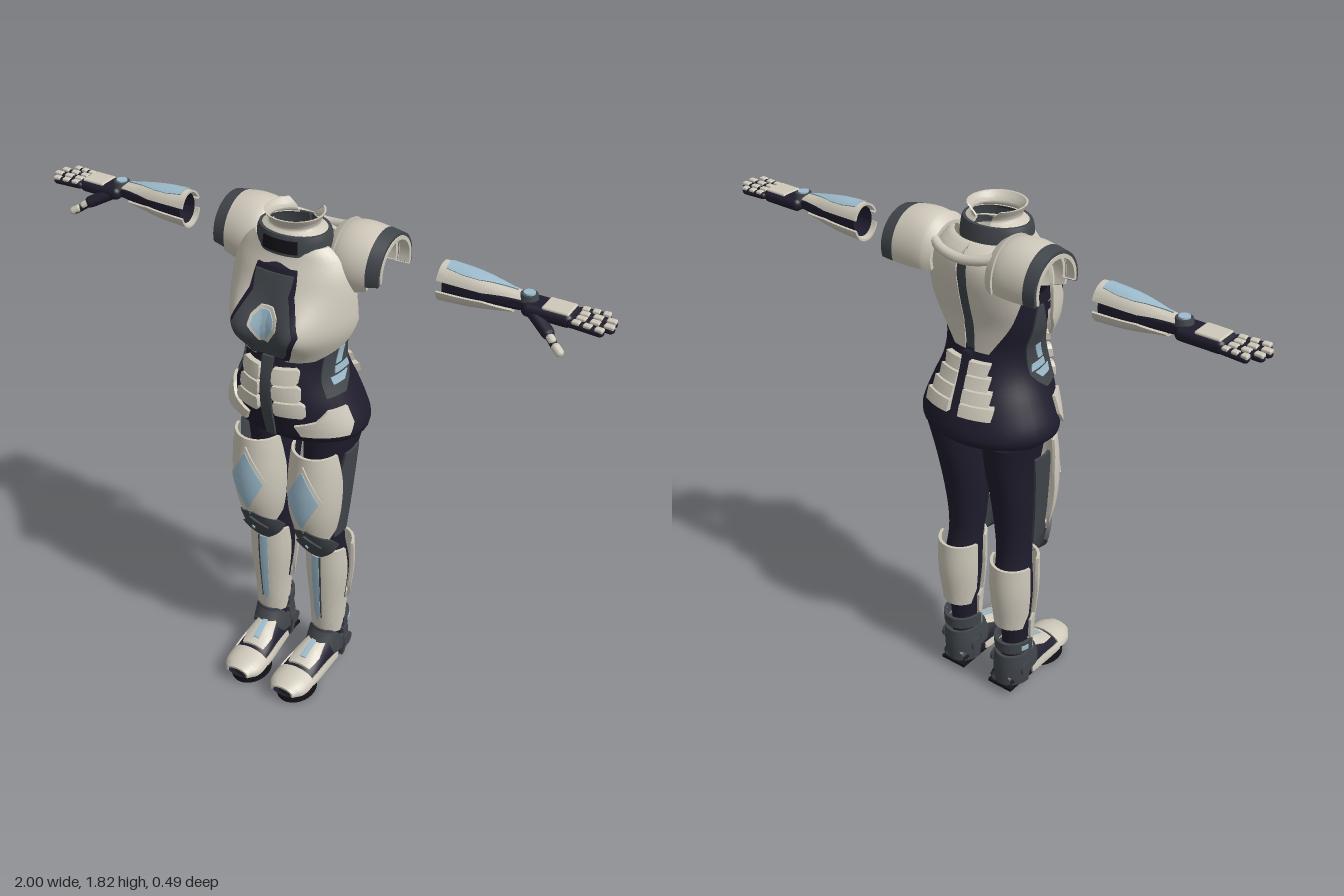
import * as THREE from 'three';
import { toCreasedNormals } from 'three/addons/utils/BufferGeometryUtils.js';
import { RoundedBoxGeometry } from 'three/addons/geometries/RoundedBoxGeometry.js';

const PI = Math.PI;
const mat = (name, color) => {
  const m = new THREE.MeshStandardMaterial({ color, side: THREE.DoubleSide });
  m.name = name;
  return m;
};

// Ring profile rows: [y, cx, cz, rx, rFront, rBack], smoothly interpolated over y
function ringAt(rows, y) {
  let i = 0;
  while (i < rows.length - 2 && y > rows[i + 1][0]) i++;
  const p1 = rows[i], p2 = rows[i + 1], p0 = rows[i - 1] || p1, p3 = rows[i + 2] || p2;
  const h = p2[0] - p1[0], t = Math.min(1, Math.max(0, (y - p1[0]) / h));
  return p1.map((v, k) => {
    const m1 = (p2[k] - p0[k]) / (p2[0] - p0[0]) * h, m2 = (p3[k] - p1[k]) / (p3[0] - p1[0]) * h;
    const d = p2[k] - v;
    return v + t * (m1 + t * (3 * d - 2 * m1 - m2 + t * (m1 + m2 - 2 * d)));
  });
}

// Point on a profile: angle 0 faces +z, PI/2 faces +x, d lifts it off the surface
function pointOn(body, y, a, d) {
  const [, cx, cz, rx, rf, rb] = ringAt(body.rows, y);
  const c = Math.cos(a), x = cx + (rx + d) * Math.sin(a);
  const z = cz + ((c > 0 ? rf : rb) + d) * c + (body.bump && c > 0 ? body.bump(x, y) : 0);
  return [x, y, z];
}

// Curved plate on a profile; outline rows: [y, angleStart, angleEnd], with folded-in edges
function plateGeometry(body, outline, d, thick, nu, step) {
  const lines = [];
  outline.forEach((r, i) => {
    const next = outline[i + 1];
    if (!next) return lines.push(r);
    for (let s = 0; s < step; s++) lines.push(r.map((v, k) => v + (next[k] - v) * s / step));
  });
  if (thick) { lines.unshift(lines[0]); lines.push(lines[lines.length - 1]); }
  const us = Array.from({ length: nu + 1 }, (_, i) => i / nu);
  if (thick) { us.unshift(0); us.push(1); }
  const pos = [], index = [], w = us.length, h = lines.length;
  lines.forEach(([y, a0, a1], j) => us.forEach((u, i) => {
    const edge = thick && (i === 0 || j === 0 || i === w - 1 || j === h - 1);
    pos.push(...pointOn(body, y, a0 + (a1 - a0) * u, edge ? d - thick : d));
    if (i && j) {
      const q = j * w + i;
      index.push(q - w - 1, q - w, q, q - w - 1, q, q - 1);
    }
  }));
  const g = new THREE.BufferGeometry();
  g.setAttribute('position', new THREE.Float32BufferAttribute(pos, 3));
  g.setIndex(index);
  return toCreasedNormals(g, 0.8);
}

function add(parent, name, geo, m, pos = [0, 0, 0], rot = [0, 0, 0]) {
  const mesh = new THREE.Mesh(geo, m);
  mesh.name = name;
  mesh.position.set(...pos);
  mesh.rotation.set(...rot);
  parent.add(mesh);
  return mesh;
}
const plate = (parent, name, m, body, outline, d = 0.01, thick = 0.01, nu = 14, step = 6) =>
  add(parent, name, plateGeometry(body, outline, d, thick, nu, step), m);
const tube = (parent, name, m, body, y0, y1) => plate(parent, name, m, body, [[y0, -PI, PI], [y1, -PI, PI]], 0, 0, 36, 28);
const sym = (rows, c = 0) => rows.map(([y, a]) => [y, c - a, c + a]);
const group = (parent, name) => { const g = new THREE.Group(); g.name = name; parent.add(g); return g; };
function mirror(g, name) {
  const c = g.clone();
  c.name = name;
  c.scale.x = -1;
  g.parent.add(c);
}

const TORSO = { rows: [
  [1.065, 0, -0.03, 0.225, 0.145, 0.185], [1.085, 0, -0.03, 0.243, 0.165, 0.2], [1.12, 0, -0.03, 0.243, 0.175, 0.198],
  [1.2, 0, -0.03, 0.21, 0.195, 0.175], [1.3, 0, -0.03, 0.167, 0.2, 0.135], [1.38, 0, -0.03, 0.16, 0.185, 0.11],
  [1.46, 0, -0.03, 0.182, 0.165, 0.11], [1.58, 0, -0.03, 0.19, 0.14, 0.112]] };
const CHEST = {
  rows: [[1.36, 0, -0.03, 0.155, 0.165, 0.1], [1.4, 0, -0.03, 0.18, 0.165, 0.1], [1.47, 0, -0.03, 0.208, 0.175, 0.105],
    [1.55, 0, -0.03, 0.212, 0.165, 0.125], [1.64, 0, -0.03, 0.2, 0.14, 0.14], [1.7, 0, -0.02, 0.165, 0.105, 0.14], [1.74, 0, -0.01, 0.12, 0.085, 0.1]],
  bump: (x, y) => 0.06 * Math.exp(-((Math.abs(x) - 0.1) ** 2 + (y - 1.485) ** 2 * 0.8) / 0.006) };
const NECK = { rows: [[1.68, 0, 0, 0.115, 0.09, 0.1], [1.77, 0, 0, 0.108, 0.08, 0.085], [1.785, 0, 0, 0.082, 0.068, 0.075], [1.82, 0, 0, 0.095, 0.09, 0.095]] };
const LEG = { rows: [
  [0.1, 0.115, -0.05, 0.042, 0.045, 0.045], [0.2, 0.115, -0.05, 0.045, 0.045, 0.045], [0.3, 0.115, -0.05, 0.055, 0.05, 0.055],
  [0.45, 0.112, -0.05, 0.067, 0.06, 0.08], [0.58, 0.105, -0.045, 0.062, 0.06, 0.06], [0.66, 0.102, -0.04, 0.066, 0.07, 0.065],
  [0.8, 0.102, -0.045, 0.076, 0.09, 0.08], [0.95, 0.104, -0.055, 0.086, 0.1, 0.105], [1.06, 0.114, -0.06, 0.1, 0.1, 0.12]] };
const THIGH = { rows: [
  [0.65, 0.105, 0.03, 0.068, 0.065, 0.06], [0.75, 0.106, 0.03, 0.09, 0.095, 0.06], [0.85, 0.108, 0.03, 0.097, 0.105, 0.06],
  [0.95, 0.11, 0.03, 0.092, 0.1, 0.06], [1.02, 0.11, 0.03, 0.082, 0.095, 0.06]] };
const THIGH_SIDE = { rows: [[0.65, 0.105, -0.025, 0.078, 0.12, 0.12], [0.8, 0.105, -0.025, 0.093, 0.12, 0.12], [1.0, 0.105, -0.03, 0.108, 0.12, 0.12]] };
const KNEE = { rows: [[0.54, 0.107, -0.02, 0.08, 0.05, 0.05], [0.63, 0.107, 0.01, 0.085, 0.075, 0.05], [0.72, 0.107, 0.03, 0.085, 0.095, 0.05]] };
const SHIN = { rows: [
  [0.17, 0.115, -0.05, 0.06, 0.055, 0.07], [0.3, 0.115, -0.05, 0.066, 0.068, 0.078], [0.45, 0.115, -0.05, 0.08, 0.08, 0.095], [0.58, 0.114, -0.05, 0.078, 0.085, 0.09]] };
const HEEL = { rows: [[0.03, 0.11, -0.045, 0.062, 0.13, 0.08], [0.1, 0.112, -0.05, 0.068, 0.115, 0.08], [0.18, 0.115, -0.05, 0.062, 0.065, 0.078]] };
// Foot runs along z: angle 0 points down, PI points up
const FOOT = { rows: [
  [-0.125, 0.108, -0.06, 0.045, 0.025, 0.03], [-0.05, 0.108, -0.06, 0.06, 0.027, 0.08], [0.05, 0.103, -0.055, 0.065, 0.035, 0.08],
  [0.14, 0.098, -0.055, 0.07, 0.035, 0.045], [0.21, 0.096, -0.055, 0.064, 0.03, 0.034], [0.245, 0.095, -0.058, 0.04, 0.018, 0.018]] };
// Arm runs along x: angle -PI/2 points up
const ARM = { rows: [[0.45, 0, 0, 0.06, 0.05, 0.05], [0.56, 0, 0, 0.053, 0.046, 0.046], [0.66, 0, 0, 0.037, 0.034, 0.034], [0.74, 0, 0, 0.024, 0.027, 0.027]] };
const SHOULDER = { rows: [
  [0.1, -1.66, -0.1, 0.085, 0.085, 0.085], [0.14, -1.66, -0.1, 0.11, 0.11, 0.1], [0.2, -1.66, -0.1, 0.118, 0.118, 0.105], [0.3, -1.66, -0.1, 0.102, 0.105, 0.105]] };

export function createModel() {
  const cream = mat('cream armour', 0xcfc9bb), navy = mat('navy undersuit', 0x1f1d2d);
  const grey = mat('dark grey trim', 0x41464b), blue = mat('pale blue inlay', 0x9dbccd), black = mat('black sole', 0x131318);
  const model = new THREE.Group();
  model.name = 'armourSuit';

  // Torso centre line
  const torso = group(model, 'torso');
  tube(torso, 'bodysuit', navy, TORSO, 1.065, 1.58);
  plate(torso, 'bellyStripe', grey, TORSO, sym([[1.09, 0.06], [1.25, 0.1], [1.39, 0.12]]), 0.012);
  plate(torso, 'breastPanelBase', navy, CHEST, sym([[1.385, 0.38], [1.42, 0.44], [1.5, 0.56], [1.6, 0.36], [1.675, 0.36]]), 0.015, 0.03);
  plate(torso, 'breastPanel', grey, CHEST, sym([[1.395, 0.28], [1.42, 0.36], [1.5, 0.48], [1.6, 0.27], [1.66, 0.32]]), 0.021, 0.01);
  plate(torso, 'gemFrame', cream, CHEST, sym([[1.455, 0.07], [1.505, 0.21], [1.54, 0.19], [1.568, 0.09]]), 0.027);
  plate(torso, 'gem', blue, CHEST, sym([[1.465, 0.04], [1.508, 0.16], [1.535, 0.145], [1.559, 0.06]]), 0.032, 0.006);
  plate(torso, 'spine', grey, CHEST, sym([[1.37, 0.08], [1.69, 0.1]], PI), 0.01);
  plate(torso, 'lowerSpine', navy, TORSO, sym([[1.17, 0.06], [1.37, 0.09]], PI), 0.018, 0.02);
  plate(torso, 'neckBase', cream, NECK, [[1.68, -PI, PI], [1.71, -PI, PI]], 0, 0, 32);
  plate(torso, 'neckBand', grey, NECK, [[1.71, -PI, PI], [1.772, -PI, PI]], 0.01, 0.01, 32);
  plate(torso, 'neckBuckle', black, NECK, sym([[1.72, 0.5], [1.76, 0.5]]), 0.014);
  plate(torso, 'collar', cream, NECK, sym([[1.772, 2.85], [1.795, 2.7], [1.82, 2.4]]), 0, 0.006, 32);
  const yoke = new THREE.CatmullRomCurve3([[-0.14, 1.73, -0.15], [-0.08, 1.71, -0.18], [0, 1.7, -0.19], [0.08, 1.71, -0.18], [0.14, 1.73, -0.15]].map(p => new THREE.Vector3(...p)));
  add(torso, 'backYoke', new THREE.TubeGeometry(yoke, 24, 0.016, 10), cream);

  // Torso plates, one side
  const side = group(torso, 'leftTorsoPlates');
  plate(side, 'chestPlate', cream, CHEST, [[1.375, 0.3, 0.85], [1.42, 0.36, 1.3], [1.5, 0.48, 1.5], [1.6, 0.3, 1.42], [1.67, 0.32, 1.25], [1.69, 0, 1.25], [1.735, 0, 1.3]], 0.01, 0.012, 24, 7);
  plate(side, 'backPlate', cream, CHEST, [[1.37, PI - 0.4, PI - 0.1], [1.5, PI - 0.75, PI - 0.08], [1.6, PI - 1, PI - 0.08], [1.68, PI - 1.05, PI - 0.1], [1.73, PI - 1.2, PI]], 0.012, 0.012);
  for (const y of [1.213, 1.272, 1.331]) plate(side, 'abPlate', cream, TORSO, [[y - 0.026, 0.15, 0.53], [y - 0.015, 0.13, 0.6], [y + 0.015, 0.13, 0.63], [y + 0.026, 0.15, 0.57]], 0.018, 0.022);
  for (let i = 0; i < 4; i++) {
    const y = 1.2 + i * 0.042, w = 0.62 - i * 0.03;
    plate(side, 'lumbarPlate', cream, TORSO, [[y - 0.019, PI - w + 0.06, PI - 0.09], [y + 0.019, PI - w, PI - 0.09]], 0.028 - i * 0.003, 0.025);
  }
  plate(side, 'hipPlate', cream, TORSO, [[1.105, 0.42, 1.15], [1.145, 0.36, 1.3], [1.165, 0.7, 1.3], [1.2, 0.95, 1.3]], 0.01, 0.012);
  plate(side, 'waistPanel', grey, TORSO, [[1.24, 1.0, 1.4], [1.3, 1.0, 1.75], [1.4, 1.1, 1.85], [1.47, 1.35, 1.8], [1.54, 1.5, 1.72]], 0.006, 0.008);
  plate(side, 'waistInlay', blue, TORSO, [[1.276, 1.2, 1.45], [1.3, 1.18, 1.58]], 0.009, 0.005);
  plate(side, 'waistInlay', blue, TORSO, [[1.308, 1.28, 1.7], [1.33, 1.3, 1.66]], 0.009, 0.005);
  plate(side, 'waistInlay', blue, TORSO, [[1.338, 1.32, 1.46], [1.39, 1.4, 1.55]], 0.009, 0.005);
  mirror(side, 'rightTorsoPlates');

  // Shoulder cap
  const cap = group(model, 'leftShoulder');
  const arc = (name, m, x0, x1, front0, front1, d) =>
    plate(cap, name, m, SHOULDER, [[x0, -PI - 0.3, front0], [x1, -PI - 0.3, front1]], d, 0.012, 28, 8).rotation.set(0, 0, -PI / 2);
  arc('pauldron', cream, 0.12, 0.255, 0.8, 0.4, 0.004);
  arc('pauldronRim', cream, 0.105, 0.135, 0.2, 0.2, 0.012);
  arc('pauldronBand', grey, 0.252, 0.294, 0.25, 0.2, 0.005);
  arc('pauldronLip', cream, 0.25, 0.297, 0.2, 0.15, -0.005);
  mirror(cap, 'rightShoulder');

  // Forearm
  const arm = group(model, 'leftArm');
  arm.position.set(0, 1.663, -0.1);
  const fore = group(arm, 'forearm');
  fore.rotation.z = -PI / 2;
  tube(fore, 'sleeve', navy, { rows: ARM.rows.map(r => r.map((v, k) => k > 2 ? v * 0.86 : v)) }, 0.47, 0.74);
  plate(fore, 'upperGuard', cream, ARM, sym([[0.455, 1.25], [0.6, 1.25], [0.715, 0.9]], -PI / 2), 0.004, 0.007);
  plate(fore, 'lowerGuard', cream, ARM, sym([[0.455, 1.3], [0.6, 1.3], [0.69, 0.9]], PI / 2), 0.004, 0.007);
  plate(fore, 'forearmInlay', blue, ARM, sym([[0.475, 0.5], [0.53, 0.62], [0.58, 0.58], [0.695, 0.05]], -PI / 2), 0.008, 0.004);
  add(arm, 'wristDisc', new THREE.CylinderGeometry(0.026, 0.03, 0.02, 20), grey, [0.73, 0.024, 0]);
  add(arm, 'wristGem', new THREE.CylinderGeometry(0.018, 0.018, 0.006, 20), blue, [0.73, 0.036, 0]);

  // Hand
  add(arm, 'palm', new RoundedBoxGeometry(0.16, 0.044, 0.092, 4, 0.02), navy, [0.8, -0.003, 0]);
  add(arm, 'handPlate', new RoundedBoxGeometry(0.085, 0.014, 0.074, 2, 0.006), cream, [0.825, 0.016, 0]);
  [0.115, 0.135, 0.13, 0.1].forEach((len, i) => {
    const finger = group(arm, 'finger');
    finger.position.set(0.865, 0, 0.039 - i * 0.027);
    finger.rotation.y = (i - 1.5) * 0.05;
    add(finger, 'fingerCore', new THREE.CapsuleGeometry(0.0125, len - 0.025, 4, 10), navy, [len / 2, -0.002, 0], [0, 0, PI / 2]);
    for (const t of [0.25, 0.56, 0.87]) add(finger, 'fingerPlate', new RoundedBoxGeometry(len * 0.23, 0.014, 0.021, 2, 0.005), cream, [len * t, 0.006, 0]);
  });
  const bone = (name, m, a, b, r) => {
    const p = new THREE.Vector3(...a), q = new THREE.Vector3(...b), dir = q.clone().sub(p);
    const mesh = add(arm, name, new THREE.CapsuleGeometry(r, dir.length(), 4, 10), m, p.clone().add(q).multiplyScalar(0.5).toArray());
    mesh.quaternion.setFromUnitVectors(new THREE.Vector3(0, 1, 0), dir.normalize());
  };
  bone('thumbBase', navy, [0.755, -0.008, 0.025], [0.82, -0.04, 0.06], 0.02);
  bone('thumb', navy, [0.82, -0.042, 0.062], [0.865, -0.072, 0.088], 0.012);
  bone('thumbPlate', cream, [0.828, -0.043, 0.068], [0.84, -0.051, 0.075], 0.0125);
  bone('thumbPlate', cream, [0.857, -0.064, 0.084], [0.872, -0.073, 0.091], 0.0135);
  mirror(arm, 'rightArm');

  // Leg
  const leg = group(model, 'leftLeg');
  tube(leg, 'legging', navy, LEG, 0.1, 1.06);
  plate(leg, 'thighPlate', cream, THIGH, sym([[0.655, 1.1], [0.7, 1.45], [0.9, 1.5], [1.015, 1.35]]), 0.004, 0.01, 20);
  plate(leg, 'thighDiamondFrame', cream, THIGH, sym([[0.7, 0.02], [0.85, 0.72], [0.985, 0.02]]), 0.01, 0.008);
  plate(leg, 'thighDiamond', blue, THIGH, sym([[0.73, 0.02], [0.85, 0.58], [0.965, 0.02]]), 0.014, 0.005);
  plate(leg, 'thighSidePlate', grey, THIGH_SIDE, [[0.65, 1.1, 1.7], [0.74, 1.05, 1.75], [0.93, 1.05, 1.85], [1.0, 1.2, 1.9]], 0, 0.01);
  plate(leg, 'kneeGuard', grey, KNEE, sym([[0.54, 0.15], [0.59, 0.9], [0.625, 1.35], [0.66, 1.0], [0.712, 0.1]]), 0.004, 0.015);
  plate(leg, 'kneeBoss', grey, KNEE, sym([[0.575, 0.03], [0.63, 0.55], [0.685, 0.03]]), 0.014, 0.014);
  plate(leg, 'kneeGem', blue, KNEE, sym([[0.616, 0.01], [0.628, 0.06], [0.64, 0.01]]), 0.018, 0.005);
  plate(leg, 'shinPlate', cream, SHIN, sym([[0.18, 1.2], [0.25, 1.55], [0.32, 1.6], [0.34, 1.3], [0.5, 1.35], [0.572, 1.25]]), 0.004, 0.01, 20);
  plate(leg, 'shinStripe', blue, SHIN, sym([[0.24, 0.06], [0.265, 0.17], [0.545, 0.17]], -0.1), 0.009, 0.004);
  plate(leg, 'shinStripeEdge', grey, SHIN, [[0.25, 0.08, 0.13], [0.545, 0.08, 0.14]], 0.009, 0.004);
  plate(leg, 'calfPlate', cream, SHIN, sym([[0.3, 1.1], [0.36, 1.35], [0.56, 1.35]], PI), 0.004, 0.01, 20);
  plate(leg, 'ankleBand', grey, SHIN, sym([[0.19, 1.75], [0.232, 1.75]], PI), 0.008, 0.012);
  plate(leg, 'ankleInlay', blue, SHIN, [[0.203, 1.75, 2.1], [0.22, 1.75, 2.1]], 0.012, 0.005);

  // Foot
  plate(leg, 'heelGuard', grey, HEEL, sym([[0.04, 1.55], [0.172, 1.65]], PI), 0.002, 0.012);
  plate(leg, 'ankleCuff', grey, HEEL, sym([[0.145, 1.4], [0.165, 1.2], [0.188, 0.7]]), 0.002, 0.012);
  for (const s of [-1, 1]) {
    plate(leg, 'ankleCuffSide', grey, HEEL, [[0.09, 1.1 * s, 1.5 * s], [0.15, 0.65 * s, 1.5 * s]], 0.002, 0.012);
    add(leg, 'ankleDisc', new THREE.CylinderGeometry(0.026, 0.026, 0.01, 18), grey, [0.112 + s * 0.069, 0.11, -0.07], [0, 0, PI / 2]);
  }
  const foot = group(leg, 'foot');
  foot.rotation.x = PI / 2;
  tube(foot, 'shoe', navy, FOOT, -0.125, 0.245);
  plate(foot, 'toeCap', cream, FOOT, sym([[0.15, 1.5], [0.2, 1.75], [0.247, 1.9]], PI), 0.006, 0.008);
  plate(foot, 'instepPlate', cream, FOOT, sym([[0.01, 0.5], [0.08, 0.75], [0.135, 0.6]], PI), 0.008, 0.01);
  plate(foot, 'instepInlay', blue, FOOT, sym([[0.03, 0.12], [0.11, 0.15]], PI), 0.012, 0.005);
  for (const s of [-1, 1]) plate(foot, 'sideWelt', cream, FOOT, [[-0.02, PI + s * 1.35, PI + s * 1.7], [0.15, PI + s * 1.1, PI + s * 1.7]], 0.006, 0.008);
  const outline = new THREE.Shape();
  outline.absellipse(0.097, 0.145, 0.068, 0.086, 0, PI * 2);
  add(leg, 'toeSole', new THREE.ExtrudeGeometry(outline, { depth: 0.032, bevelEnabled: false, curveSegments: 20 }), black, [0, 0.032, 0], [PI / 2, 0, 0]);
  add(leg, 'heelSole', new THREE.BoxGeometry(0.1, 0.012, 0.2), black, [0.107, 0.033, -0.03]);
  mirror(leg, 'rightLeg');

  return model;
}
